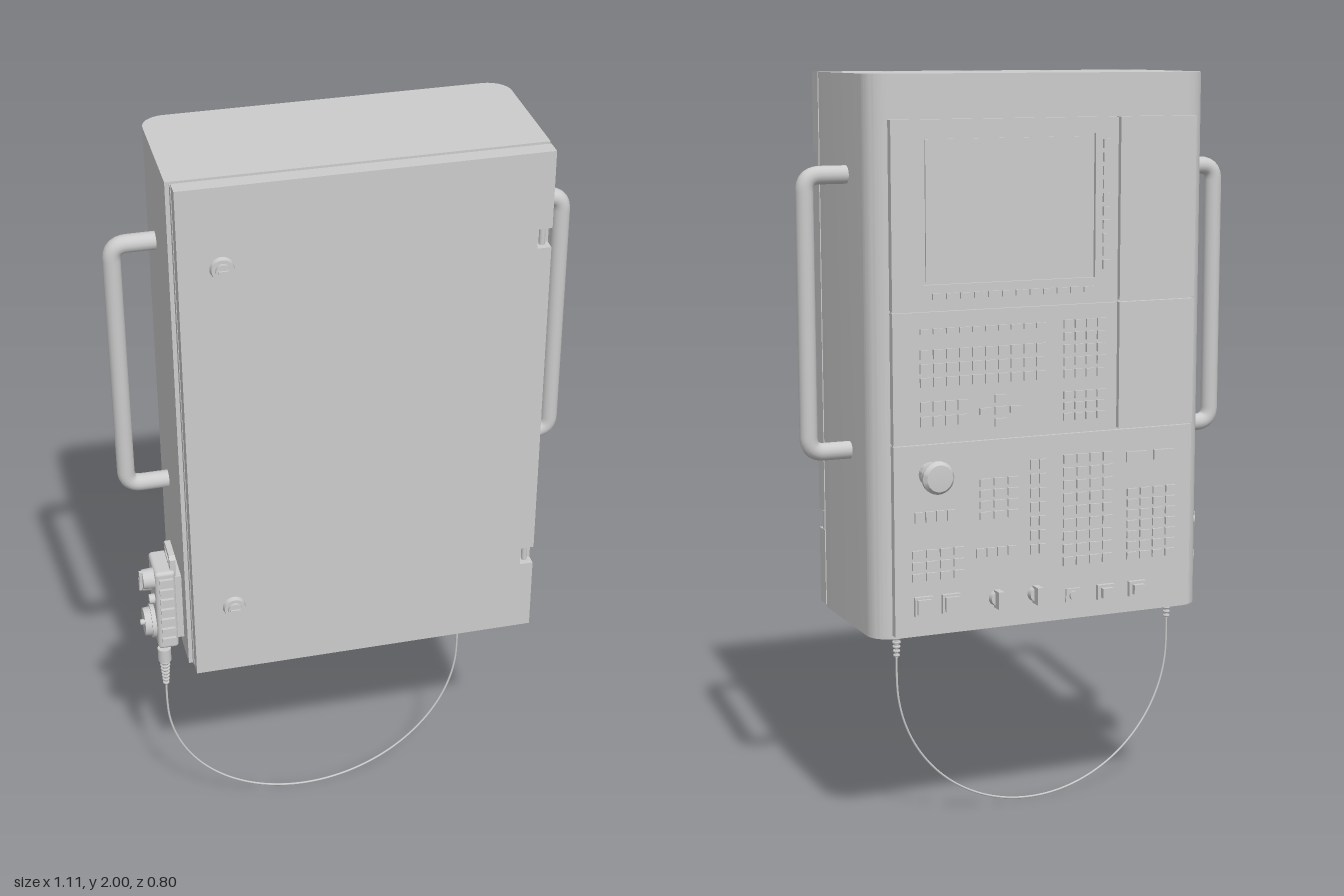
import * as THREE from 'three';
import { mergeGeometries, toCreasedNormals } from 'three/addons/utils/BufferGeometryUtils.js';
import { RoundedBoxGeometry } from 'three/addons/geometries/RoundedBoxGeometry.js';

const grey = new THREE.MeshStandardMaterial({ color: 0xcccccc });

function add(parent, name, geometry, x = 0, y = 0, z = 0) {
  const mesh = new THREE.Mesh(geometry, grey);
  mesh.name = name;
  mesh.position.set(x, y, z);
  parent.add(mesh);
  return mesh;
}

const box = (w, h, d, x = 0, y = 0, z = 0) => new THREE.BoxGeometry(w, h, d).translate(x, y, z);
// Cylinder whose axis points along z, standing on z = z0
const disc = (r0, r1, d, x = 0, y = 0, z0 = 0, n = 28) =>
  new THREE.CylinderGeometry(r1, r0, d, n).rotateX(Math.PI / 2).translate(x, y, z0 + d / 2);
const polygon = (pts) => new THREE.Shape(pts.map(([x, y]) => new THREE.Vector2(x, y)));
const extrude = (shape, depth) =>
  toCreasedNormals(new THREE.ExtrudeGeometry(shape, { depth, bevelEnabled: false, curveSegments: 10 }), 0.6);

const BOTTOM = 0.585, TOP = 2, HALF = 0.468, BACK = -0.215;

// Cabinet shell with rounded rear edges, gasket, door, hinges and locks
function cabinet() {
  const g = new THREE.Group();
  g.name = 'cabinet';
  const r = 0.06, b = -BACK, f = -0.155;
  const plan = new THREE.Shape();
  plan.moveTo(-HALF, f);
  plan.lineTo(HALF, f);
  plan.lineTo(HALF, b - r);
  plan.absarc(HALF - r, b - r, r, 0, Math.PI / 2);
  plan.lineTo(-HALF + r, b);
  plan.absarc(-HALF + r, b - r, r, Math.PI / 2, Math.PI);
  plan.closePath();
  add(g, 'shell', extrude(plan, TOP - BOTTOM).rotateX(-Math.PI / 2), 0, BOTTOM, 0);
  add(g, 'gasket', box(0.915, TOP - BOTTOM - 0.012, 0.02), 0, (TOP + BOTTOM) / 2, 0.162);

  const L = -0.456, R = 0.466, n = 0.036, hinges = [0.82, 1.77];
  const edge = hinges.flatMap((y) => [[R, y - 0.026], [R - n, y - 0.026], [R - n, y + 0.026], [R, y + 0.026]]);
  const door = polygon([[L, BOTTOM + 0.005], [R, BOTTOM + 0.005], ...edge, [R, TOP], [L, TOP]]);
  add(g, 'door', extrude(door, 0.042), 0, 0, 0.168);
  for (const y of hinges) {
    add(g, 'hingeLeaf', box(n, 0.05, 0.012), R - n / 2, y, 0.176);
    add(g, 'hingeKnuckle', new THREE.CylinderGeometry(0.008, 0.008, 0.05, 12), R - 0.018, y, 0.188);
  }
  for (const y of [0.795, 1.79]) {
    const lock = mergeGeometries([
      disc(0.03, 0.027, 0.012), disc(0.018, 0.018, 0.02), box(0.026, 0.006, 0.006, 0, 0, 0.022),
    ]);
    add(g, 'doorLock', lock, -0.35, y, 0.21);
  }
  return g;
}

// Bent tube handle for one side of the cabinet
function handle(side) {
  const v = (x, y) => new THREE.Vector3(side * x, y, 0);
  const path = new THREE.CurvePath(), r = 0.04, x0 = HALF - 0.01, x1 = 0.578, y0 = 1.05, y1 = 1.75;
  path.add(new THREE.LineCurve3(v(x0, y0), v(x1 - r, y0)));
  path.add(new THREE.QuadraticBezierCurve3(v(x1 - r, y0), v(x1, y0), v(x1, y0 + r)));
  path.add(new THREE.LineCurve3(v(x1, y0 + r), v(x1, y1 - r)));
  path.add(new THREE.QuadraticBezierCurve3(v(x1, y1 - r), v(x1, y1), v(x1 - r, y1)));
  path.add(new THREE.LineCurve3(v(x1 - r, y1), v(x0, y1)));
  return new THREE.TubeGeometry(path, 100, 0.023, 16);
}

// Control panel; s runs 0..1 from the operator's left to right
function controlPanel() {
  const g = new THREE.Group();
  g.name = 'controlPanel';
  const W = 0.84, px = (s) => (s - 0.5) * W, face = 0.02;
  const rect = (s0, s1, y0, y1) => polygon([[px(s0), y0], [px(s1), y0], [px(s1), y1], [px(s0), y1]]);
  add(g, 'panelBacking', box(W - 0.004, 1.292, 0.01), 0, 1.242, 0.005);

  const screenPlate = rect(0, 0.735, 1.424, 1.89);
  screenPlate.holes.push(rect(0.1, 0.66, 1.485, 1.85));
  add(g, 'screenPlate', extrude(screenPlate, face));
  add(g, 'screen', box(W * 0.54, 0.35, 0.006), px(0.38), 1.667, 0.012);
  add(g, 'keyboardPlate', extrude(rect(0, 0.735, 1.09, 1.418), face));
  add(g, 'operatorPlate', extrude(rect(0, 1, 0.595, 1.084), face));
  add(g, 'upperCover', extrude(rect(0.742, 1, 1.424, 1.89), face + 0.004));
  add(g, 'lowerCover', extrude(rect(0.742, 1, 1.09, 1.418), face + 0.004));

  // Key fields: name, s range, y range, columns, rows
  const fields = [
    ['softKeys', 0.12, 0.66, 1.445, 1.467, 12, 1],
    ['screenSideKeys', 0.68, 0.71, 1.5, 1.84, 1, 10],
    ['functionKeys', 0.08, 0.5, 1.36, 1.38, 10, 1],
    ['letterKeys', 0.08, 0.5, 1.225, 1.33, 10, 3],
    ['shiftKeys', 0.08, 0.24, 1.125, 1.2, 4, 2],
    ['cursorSideKeys', 0.27, 0.42, 1.147, 1.172, 3, 1],
    ['cursorEndKeys', 0.32, 0.37, 1.113, 1.205, 1, 3],
    ['numberKeys', 0.55, 0.7, 1.225, 1.385, 4, 5],
    ['editKeys', 0.55, 0.7, 1.115, 1.2, 4, 3],
    ['cycleKeys', 0.06, 0.2, 0.88, 0.92, 4, 1],
    ['modeKeys', 0.05, 0.23, 0.73, 0.82, 4, 3],
    ['axisKeys', 0.27, 0.41, 0.875, 0.99, 3, 4],
    ['speedKeys', 0.26, 0.4, 0.775, 0.81, 4, 1],
    ['statusKeys', 0.44, 0.5, 0.77, 1.03, 2, 7],
    ['machineKeys', 0.55, 0.73, 0.73, 1.035, 4, 9],
    ['startKeys', 0.76, 0.95, 0.99, 1.03, 2, 1],
    ['optionKeys', 0.77, 0.95, 0.73, 0.93, 4, 7],
  ];
  for (const [name, s0, s1, y0, y1, cols, rows] of fields) {
    const keys = [], dx = (px(s1) - px(s0)) / cols, dy = (y1 - y0) / rows;
    for (let i = 0; i < cols; i++) for (let j = 0; j < rows; j++)
      keys.push(box(dx * 0.76, dy * 0.68, 0.008, px(s0) + (i + 0.5) * dx, y0 + (j + 0.5) * dy, face + 0.003));
    add(g, name, mergeGeometries(keys));
  }

  // Emergency stop mushroom
  const profile = [[0.03, 0], [0.03, 0.02], [0.02, 0.025], [0.02, 0.042], [0.042, 0.05], [0.042, 0.06], [0.034, 0.07], [0, 0.072]];
  const stop = new THREE.LatheGeometry(profile.map(([x, y]) => new THREE.Vector2(x, y)), 32).rotateX(Math.PI / 2);
  add(g, 'emergencyStop', toCreasedNormals(stop, 0.6), px(0.115), 1.01, face);

  // Bottom row of rotary switches and lit push buttons
  const switches = { pushButton: [0.09, 0.18], rotarySwitch: [0.33, 0.46], keySwitch: [0.59], squareButton: [0.7, 0.81] };
  const shapes = {
    pushButton: () => [box(0.05, 0.05, 0.01, 0, 0, 0.005), box(0.038, 0.038, 0.01, 0, 0, 0.013)],
    rotarySwitch: () => [disc(0.02, 0.018, 0.016), box(0.016, 0.046, 0.034, 0, 0, 0.022)],
    keySwitch: () => [box(0.042, 0.036, 0.006, 0, 0, 0.003), disc(0.012, 0.012, 0.014)],
    squareButton: () => [box(0.048, 0.04, 0.012, 0, 0, 0.006), box(0.03, 0.026, 0.014, 0, 0, 0.018)],
  };
  for (const [name, spots] of Object.entries(switches))
    for (const s of spots) add(g, name, mergeGeometries(shapes[name]()), px(s), name.match(/push|rotary/) ? 0.67 : 0.655, face);
  return g;
}

// Hand-held pendant hung on the side; built facing +z
function pendant() {
  const g = new THREE.Group();
  g.name = 'pendant';
  add(g, 'pendantMount', box(0.1, 0.2, 0.02), 0, 0.73, 0.01);
  add(g, 'pendantBody', new RoundedBoxGeometry(0.11, 0.25, 0.055, 3, 0.01), 0, 0.725, 0.043);
  const ribs = [];
  for (let i = 0; i < 7; i++) ribs.push(box(0.128, 0.016, 0.036, 0, 0.632 + i * 0.032, 0.042));
  add(g, 'gripRibs', mergeGeometries(ribs));
  const loop = polygon([[-0.045, 0.83], [0.045, 0.83], [0.045, 0.88], [0.035, 0.89], [-0.035, 0.89], [-0.045, 0.88]]);
  loop.holes.push(polygon([[-0.03, 0.858], [-0.03, 0.876], [0.03, 0.876], [0.03, 0.858]]));
  add(g, 'hangingLoop', extrude(loop, 0.016), 0, 0, 0.012);
  add(g, 'handWheel', mergeGeometries([disc(0.046, 0.046, 0.012), disc(0.04, 0.038, 0.03), disc(0.008, 0.008, 0.012, 0.02, 0.015, 0.03, 12)]), 0, 0.66, 0.07);
  add(g, 'axisKnob', mergeGeometries([disc(0.028, 0.026, 0.03), box(0.01, 0.05, 0.012, 0, 0, 0.032)]), 0.026, 0.82, 0.07);
  add(g, 'stepKnob', mergeGeometries([disc(0.022, 0.02, 0.026), box(0.008, 0.038, 0.01, 0, 0, 0.028)]), -0.03, 0.765, 0.07);
  add(g, 'enableButton', disc(0.014, 0.013, 0.016), 0.03, 0.755, 0.07);
  return g;
}

// Cable gland with a tapering ribbed sleeve, hanging below y = 0
function gland() {
  const parts = [new THREE.CylinderGeometry(0.018, 0.018, 0.04, 16).translate(0, -0.02, 0),
    new THREE.CylinderGeometry(0.007, 0.004, 0.09, 10).translate(0, -0.08, 0)];
  for (let i = 0; i < 7; i++)
    parts.push(new THREE.TorusGeometry(0.0115 - i * 0.0009, 0.0035, 6, 16).rotateX(Math.PI / 2).translate(0, -0.046 - i * 0.012, 0));
  return mergeGeometries(parts);
}

export function createModel() {
  const model = new THREE.Group();
  model.name = 'controlCabinet';
  const unit = new THREE.Group();
  unit.name = 'turnedUnit';
  unit.rotation.y = -0.473;
  model.add(unit);

  unit.add(cabinet());
  add(unit, 'leftHandle', handle(1), 0, 0, -0.045);
  add(unit, 'rightHandle', handle(-1), 0, 0, -0.045);

  const panel = controlPanel();
  panel.rotation.y = Math.PI;
  panel.position.z = BACK;
  unit.add(panel);

  const hand = pendant();
  hand.rotation.y = -Math.PI / 2;
  hand.position.set(-HALF, 0, 0.045);
  unit.add(hand);

  // Hanging cable between the cabinet floor and the pendant
  const a = new THREE.Vector3(-0.522, 0.6, 0.08), b = new THREE.Vector3(0.318, BOTTOM, 0.028);
  add(unit, 'pendantGland', gland(), a.x, a.y - 0.01, a.z);
  add(unit, 'cabinetGland', gland(), b.x, b.y, b.z);
  const pts = [new THREE.Vector3(a.x, 0.48, a.z)];
  for (let i = 0; i <= 24; i++) {
    const t = (i / 24) * Math.PI;
    const p = a.clone().lerp(b, (1 - Math.cos(t)) / 2);
    pts.push(p.setY(0.403 - 0.4 * Math.sin(t)));
  }
  pts.push(new THREE.Vector3(b.x, 0.48, b.z));
  add(unit, 'cable', new THREE.TubeGeometry(new THREE.CatmullRomCurve3(pts), 120, 0.003, 8));
  return model;
}
